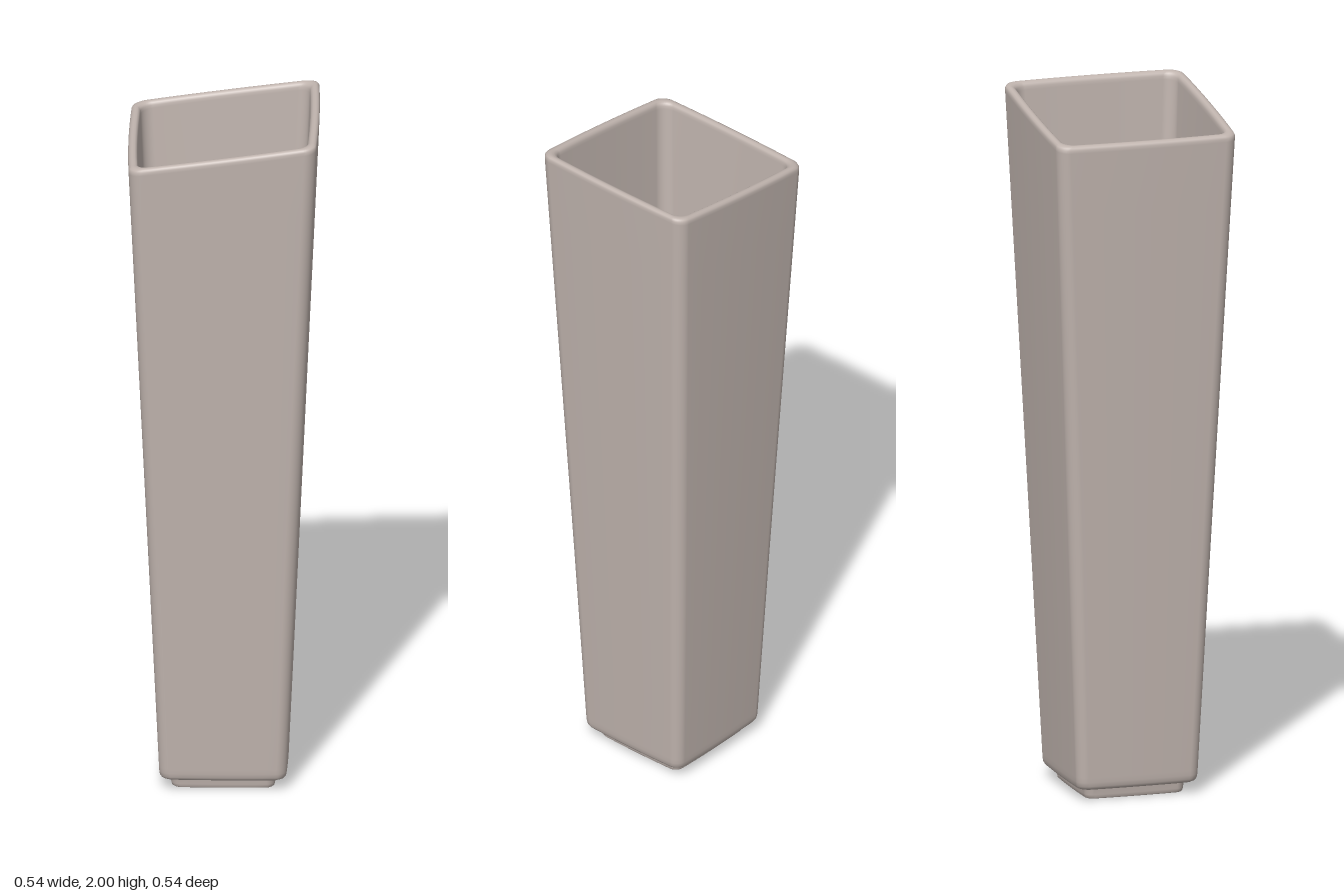
import * as THREE from 'three';

const TOP = 1.962;    // rim height at the centre
const SLOPE = 0.14;   // sideways slant of the rim
const CORNER = 8;     // segments per rounded corner
const SIDE = 8;       // segments per bowed side

// Outline of a softly bowed, rounded square with the given half width
function ring(half) {
  const r = Math.min(0.034, half * 0.16), c = half - r, pts = [];
  for (let q = 0; q < 4; q++) {
    const a0 = q * Math.PI / 2, ca = Math.cos(a0), sa = Math.sin(a0);
    const local = [];
    for (let i = 0; i < SIDE; i++) local.push([half, -c + 2 * c * i / SIDE]);
    for (let i = 0; i < CORNER; i++) {
      const a = i / CORNER * Math.PI / 2;
      local.push([c + r * Math.cos(a), c + r * Math.sin(a)]);
    }
    for (const [u, v] of local) {
      const k = half > 0 ? 1 / (half * half) : 0;
      const x = u * (1 - 0.022 * v * v * k), z = v * (1 - 0.022 * u * u * k);
      pts.push([x * ca - z * sa, x * sa + z * ca]);
    }
  }
  return pts;
}

// Skin a profile of [half width, height]; heights shear progressively to the slanted rim
function loft(profile) {
  const pos = [], idx = [], n = 4 * (SIDE + CORNER);
  profile.forEach(([half, y], j) => {
    const w = Math.max(0, (y - 0.1) / (TOP - 0.1));
    for (const [x, z] of ring(half)) pos.push(x, y + SLOPE * x * w, z);
    if (j === 0) return;
    for (let i = 0; i < n; i++) {
      const a = (j - 1) * n + i, b = (j - 1) * n + (i + 1) % n;
      idx.push(a, a + n, b, b, a + n, b + n);
    }
  });
  const g = new THREE.BufferGeometry();
  g.setAttribute('position', new THREE.Float32BufferAttribute(pos, 3));
  g.setIndex(idx);
  g.computeVertexNormals();
  return g;
}

// Evenly spaced profile points along a straight wall
function wall(h0, y0, h1, y1, steps) {
  return Array.from({ length: steps + 1 }, (_, i) =>
    [h0 + (h1 - h0) * i / steps, y0 + (y1 - y0) * i / steps]);
}

export function createModel() {
  const group = new THREE.Group();
  const ceramic = new THREE.MeshStandardMaterial({ color: 0xc0b4ae });
  ceramic.name = 'warm grey ceramic';
  const add = (name, profile) => {
    const mesh = new THREE.Mesh(loft(profile), ceramic);
    mesh.name = name;
    group.add(mesh);
  };

  // Foot: recessed underside, standing rim and short step
  add('foot', [
    [0, 0.02], [0.1, 0.02], [0.116, 0.02], [0.12, 0.018], [0.123, 0.004], [0.127, 0],
    [0.135, 0], [0.144, 0], [0.147, 0.003], [0.149, 0.012], [0.15, 0.026], [0.152, 0.033],
  ]);

  // Body: rounded base, outer wall, rolled rim, inner wall and floor
  add('vaseBody', [
    [0.148, 0.032], [0.158, 0.032], [0.17, 0.033], [0.177, 0.037], [0.181, 0.044], [0.183, 0.056],
    ...wall(0.1836, 0.07, 0.2695, TOP - 0.018, 10),
    [0.2695, TOP - 0.009], [0.267, TOP - 0.003], [0.262, TOP],
    [0.257, TOP + 0.001], [0.251, TOP], [0.246, TOP - 0.004], [0.2435, TOP - 0.011],
    ...wall(0.243, TOP - 0.02, 0.163, 0.1, 10),
    [0.161, 0.088], [0.156, 0.081], [0.148, 0.078], [0.13, 0.077], [0, 0.077],
  ]);
  return group;
}
